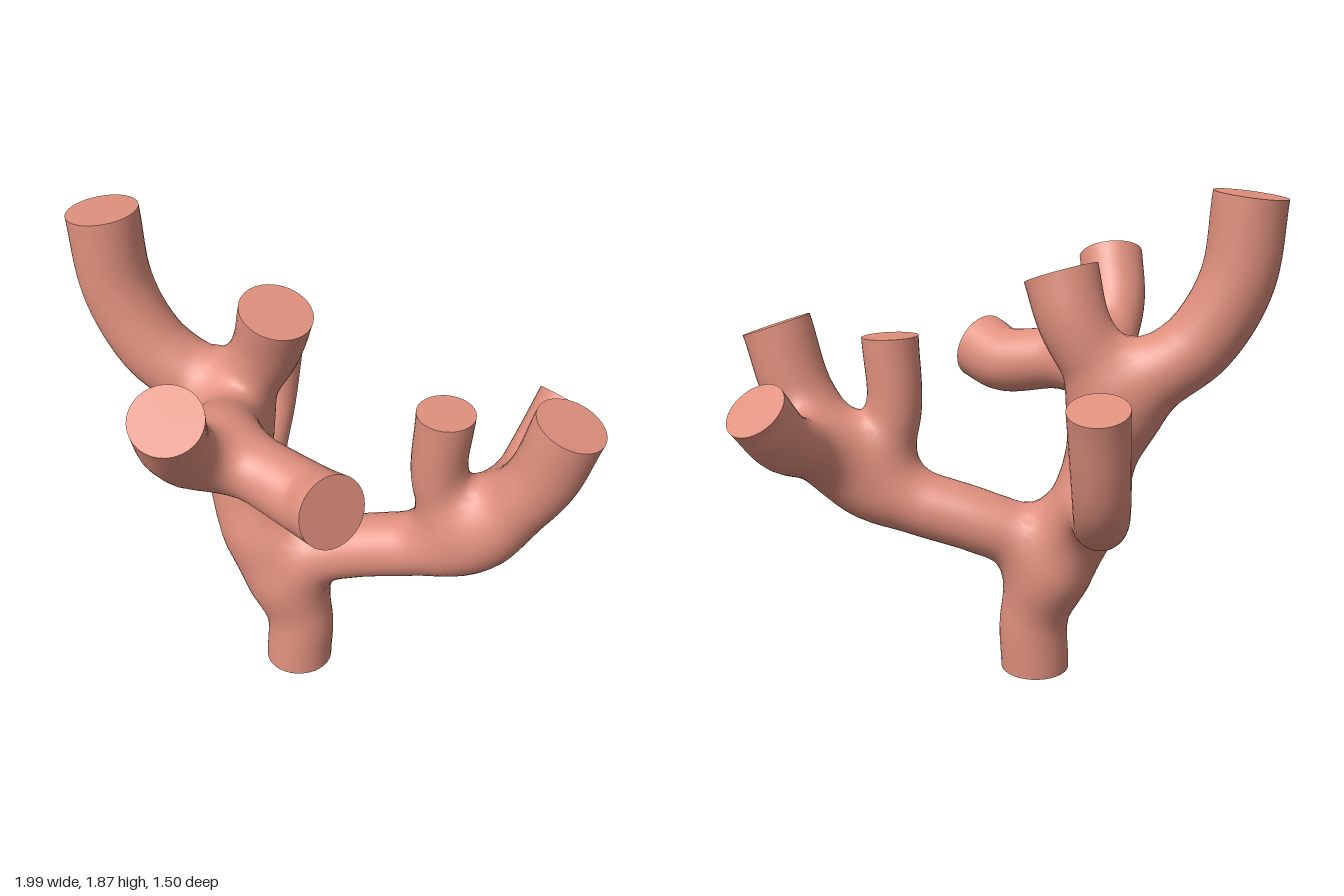
import * as THREE from 'three';

const STEPS = 72, SIDES = 32, BLEND = 0.14;
const LIMBS = [];

// A limb: name, start radius, tip radius, a few centre-line points
function limb(name, r0, r1, ...pts) {
  const curve = new THREE.CatmullRomCurve3(pts.map(p => new THREE.Vector3(...p)));
  LIMBS.push({ name, r0, r1, curve, line: curve.getSpacedPoints(36) });
}

limb('trunkAndTallBranch', 0.132, 0.132, [-0.117, 0, 0.03], [-0.12, 0.25, 0.018], [-0.31, 0.67, -0.01],
  [-0.41, 1.02, -0.07], [-0.54, 1.19, -0.1], [-0.71, 1.33, -0.1], [-0.83, 1.55, -0.11], [-0.866, 1.85, -0.115]);
limb('upperMiddleBranch', 0.11, 0.137, [-0.41, 1.05, -0.07], [-0.36, 1.2, -0.1], [-0.26, 1.4, -0.1], [-0.212, 1.565, -0.07]);
limb('frontBranch', 0.1, 0.127, [-0.4, 1.1, -0.06], [-0.335, 1.18, 0.2], [-0.36, 1.24, 0.4], [-0.38, 1.38, 0.53], [-0.357, 1.545, 0.632]);
limb('frontSideBranch', 0.11, 0.133, [-0.335, 1.18, 0.24], [-0.15, 1.17, 0.335], [0.05, 1.145, 0.415], [0.155, 1.18, 0.5]);
limb('mainSideBranch', 0.12, 0.132, [-0.17, 0.42, 0], [-0.05, 0.54, 0], [0.1, 0.6, -0.01], [0.5, 0.74, -0.01], [0.77, 1.05, 0], [0.868, 1.34, 0.015]);
limb('sideUprightBranch', 0.095, 0.107, [0.5, 0.74, -0.01], [0.42, 1.0, 0], [0.432, 1.305, 0.01]);
limb('sideBackBranch', 0.1, 0.118, [0.6, 0.81, -0.01], [0.7, 0.915, -0.21], [0.755, 0.99, -0.36], [0.815, 1.12, -0.458]);
limb('backBranch', 0.088, 0.106, [-0.27, 0.6, 0], [-0.335, 0.69, -0.16], [-0.385, 0.735, -0.39], [-0.395, 0.85, -0.535], [-0.385, 1.205, -0.655]);

// Distance from a point to one limb
function limbDistance({ line, r0, r1 }, x, y, z) {
  const n = line.length - 1;
  let best = Infinity;
  for (let i = 0; i < n; i++) {
    const a = line[i], b = line[i + 1];
    const dx = b.x - a.x, dy = b.y - a.y, dz = b.z - a.z;
    const px = x - a.x, py = y - a.y, pz = z - a.z;
    const t = Math.min(1, Math.max(0, (px * dx + py * dy + pz * dz) / (dx * dx + dy * dy + dz * dz)));
    const d = Math.hypot(px - t * dx, py - t * dy, pz - t * dz) - (r0 + (r1 - r0) * (i + t) / n);
    best = Math.min(best, d);
  }
  return best;
}

// Smooth union of all limbs, which fillets the forks
function field(x, y, z) {
  let f = Infinity;
  for (const part of LIMBS) {
    const d = limbDistance(part, x, y, z);
    const h = Math.max(0, BLEND - Math.abs(f - d));
    f = Math.min(f, d) - h * h / (4 * BLEND);
  }
  return f;
}

// Tube whose vertices are pushed out to the blended surface
function limbGeometry({ curve, r0, r1 }) {
  const geo = new THREE.TubeGeometry(curve, STEPS, 1, SIDES);
  const pos = geo.attributes.position, nor = geo.attributes.normal;
  const p = new THREE.Vector3(), n = new THREE.Vector3(), g = new THREE.Vector3(), e = 0.004;
  for (let i = 0; i <= STEPS; i++) {
    const c = curve.getPointAt(i / STEPS), r = r0 + (r1 - r0) * i / STEPS;
    for (let j = 0; j <= SIDES; j++) {
      const k = i * (SIDES + 1) + j;
      n.fromBufferAttribute(nor, k);
      let push = 0;
      for (let s = 0; s < 6; s++) {
        p.copy(c).addScaledVector(n, r + push);
        const f = field(p.x, p.y, p.z);
        if (f < -0.07 || Math.abs(f) < 0.0005) break;
        push = Math.min(0.09, Math.max(0, push - f));
      }
      p.copy(c).addScaledVector(n, r + push);
      pos.setXYZ(k, p.x, p.y, p.z);
      g.set(field(p.x + e, p.y, p.z) - field(p.x - e, p.y, p.z),
        field(p.x, p.y + e, p.z) - field(p.x, p.y - e, p.z),
        field(p.x, p.y, p.z + e) - field(p.x, p.y, p.z - e)).normalize();
      nor.setXYZ(k, g.x, g.y, g.z);
    }
  }
  return geo;
}

// Flat disc closing the first or last ring of a tube
function capGeometry(tube, curve, atTip) {
  const geo = new THREE.CircleGeometry(1, SIDES), pos = geo.attributes.position;
  const c = curve.getPointAt(atTip ? 1 : 0), p = new THREE.Vector3();
  pos.setXYZ(0, c.x, c.y, c.z);
  for (let j = 0; j <= SIDES; j++) {
    const k = atTip ? STEPS * (SIDES + 1) + SIDES - j : j;
    p.fromBufferAttribute(tube.attributes.position, k);
    pos.setXYZ(j + 1, p.x, p.y, p.z);
  }
  geo.computeVertexNormals();
  return geo;
}

export function createModel() {
  const model = new THREE.Group();
  model.name = 'branchingCoral';
  const material = new THREE.MeshStandardMaterial({ color: 0xe0907e });
  const add = (parent, name, geo) => {
    const mesh = new THREE.Mesh(geo, material);
    mesh.name = name;
    parent.add(mesh);
  };
  LIMBS.forEach(({ name, r0, r1, curve }, i) => {
    const part = new THREE.Group();
    part.name = name;
    const tube = limbGeometry({ curve, r0, r1 });
    add(part, 'stem', tube);
    add(part, 'tip', capGeometry(tube, curve, true));
    if (i === 0) add(part, 'base', capGeometry(tube, curve, false));
    model.add(part);
  });
  return model;
}
